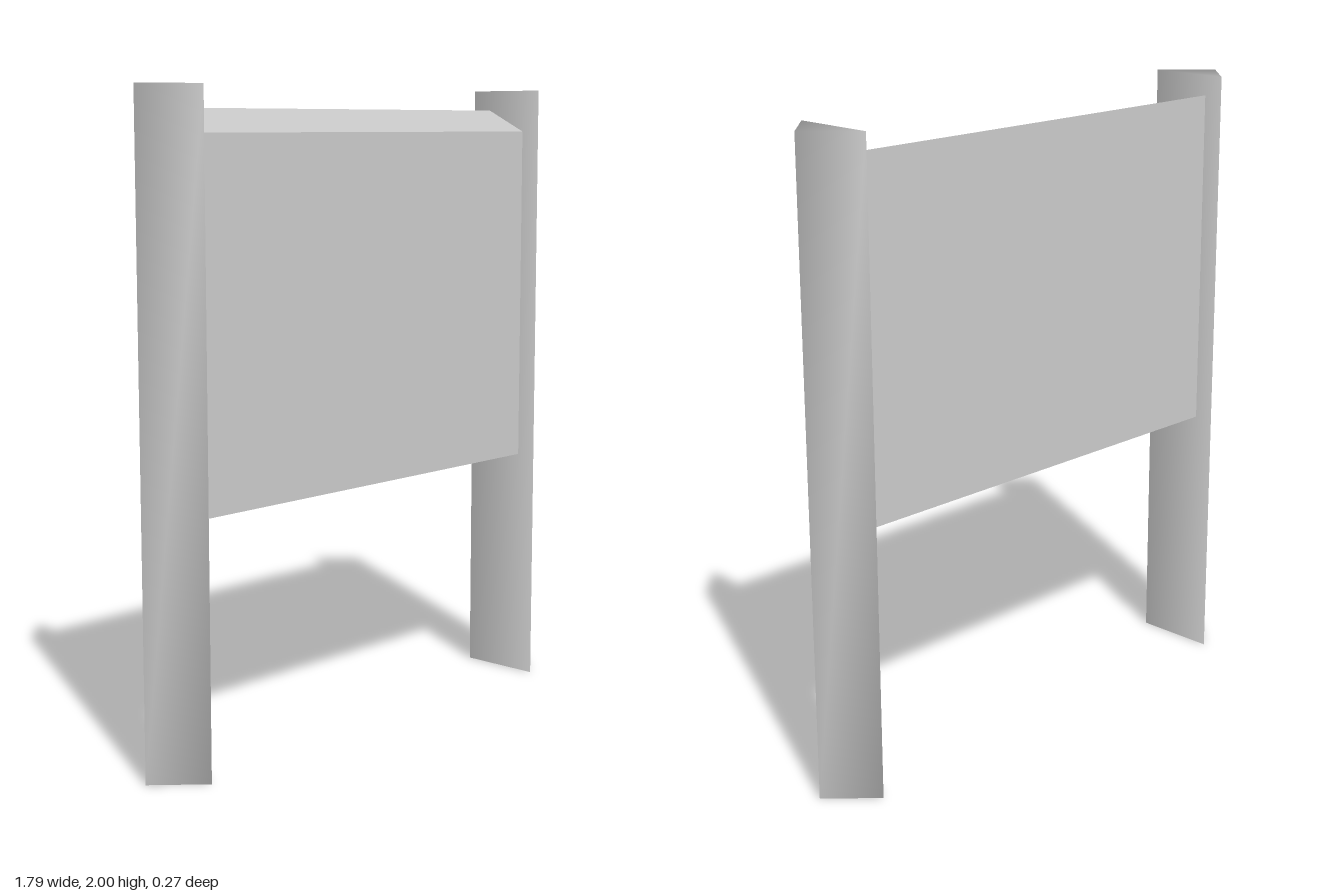
import * as THREE from 'three';

// Upright three-sided post with soft shading; flat side inward, ridge outward (+x)
function postGeometry(inner, outer, halfDepth, height) {
  const section = [[inner, halfDepth], [outer, 0], [inner, -halfDepth]];
  const points = [];
  for (const y of [0, height]) {
    for (const [x, z] of section) points.push(x, y, z);
  }
  const index = [3, 4, 5, 0, 2, 1]; // top and bottom ends
  for (let i = 0; i < 3; i++) {
    const j = (i + 1) % 3;
    index.push(i, j, j + 3, i, j + 3, i + 3);
  }
  const geometry = new THREE.BufferGeometry();
  geometry.setAttribute('position', new THREE.Float32BufferAttribute(points, 3));
  geometry.setIndex(index);
  geometry.computeVertexNormals();
  return geometry;
}

// Slab whose back is shifted upward, so its top and bottom slope to the front
function panelGeometry(width, height, depth, rise) {
  const geometry = new THREE.BoxGeometry(width, height, depth);
  const p = geometry.attributes.position;
  for (let i = 0; i < p.count; i++) {
    p.setY(i, p.getY(i) - Math.sign(p.getZ(i)) * rise / 2);
  }
  return geometry;
}

export function createModel() {
  const group = new THREE.Group();
  group.name = 'signBoard';
  const grey = new THREE.MeshStandardMaterial({ color: 0xcccccc });
  grey.name = 'light grey';

  // Posts, one turned half round to the other side
  const post = postGeometry(0.76, 0.895, 0.135, 2);
  for (const [name, turn] of [['leftPost', 0], ['rightPost', Math.PI]]) {
    const mesh = new THREE.Mesh(post, grey);
    mesh.name = name;
    mesh.rotation.y = turn;
    group.add(mesh);
  }

  // Board between the posts
  const panel = new THREE.Mesh(panelGeometry(1.52, 1.1, 0.14, 0.07), grey);
  panel.name = 'panel';
  panel.position.y = 1.35;
  group.add(panel);

  return group;
}
